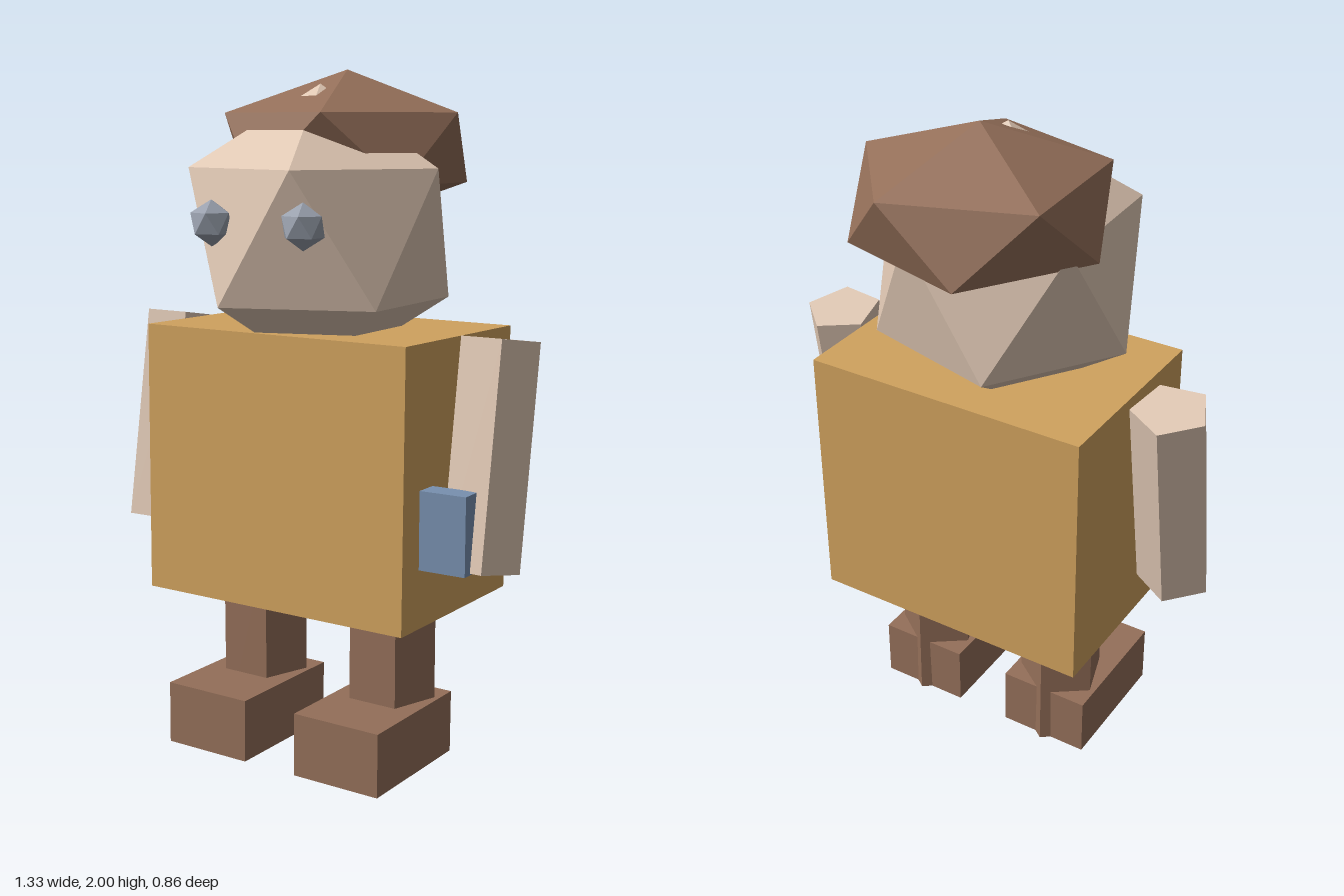
import * as THREE from 'three';

const mat = (name, color) => {
  const m = new THREE.MeshStandardMaterial({ color, flatShading: true });
  m.name = name;
  return m;
};

export function createModel() {
  const skin = mat('skin', 0xdfc7b3);
  const brown = mat('brown', 0x946f59);
  const ochre = mat('ochre', 0xd0a25e);
  const blue = mat('blue', 0x7890b0);
  const grey = mat('grey', 0x989fac);

  const model = new THREE.Group();
  model.name = 'blockyFigure';

  const add = (name, geometry, material, x, y, z, tilt = 0) => {
    const mesh = new THREE.Mesh(geometry, material);
    mesh.name = name;
    mesh.position.set(x, y, z);
    mesh.rotation.x = tilt;
    model.add(mesh);
    return mesh;
  };

  // Twenty-sided ball standing on one of its corners
  const ball = (r, ry = r) => new THREE.IcosahedronGeometry(1, 0)
    .rotateZ(Math.atan2(2, 1 + Math.sqrt(5)))
    .rotateY(THREE.MathUtils.degToRad(39))
    .scale(r, ry, r);

  // Five-sided post with one edge towards the back
  const post = (r, h, yaw = 0) => new THREE.CylinderGeometry(r, r, h, 5).rotateY(Math.PI + yaw);

  const lean = -0.013;

  // Torso, head and hair
  add('torso', new THREE.BoxGeometry(0.87, 0.79, 0.6), ochre, 0, 0.876, 0.007, lean);
  add('head', ball(0.417), skin, 0, 1.54, 0.05);
  add('hair', ball(0.396, 0.222), brown, 0, 1.778, -0.09);

  // Eyes
  add('rightEye', ball(0.064), grey, -0.14, 1.58, 0.376);
  add('leftEye', ball(0.064), grey, 0.163, 1.58, 0.376);

  // Arms, legs and boots on both sides
  for (const [side, s] of [['left', 1], ['right', -1]]) {
    add(side + 'Arm', post(0.113, 0.635, -s * 0.12), skin, s * 0.555, 0.957, 0.047, s > 0 ? -0.15 : -0.17);
    add(side + 'Leg', post(0.131, 0.6), brown, s * 0.227, 0.304, 0.018);
    add(side + 'Boot', new THREE.BoxGeometry(0.28, 0.186, 0.414), brown, s * 0.227, 0.1, 0.113, lean);
  }

  // Small box held beside the left hand
  add('heldBox', new THREE.BoxGeometry(0.165, 0.222, 0.07), blue, 0.491, 0.763, 0.185).rotation.y = 0.03;

  return model;
}
